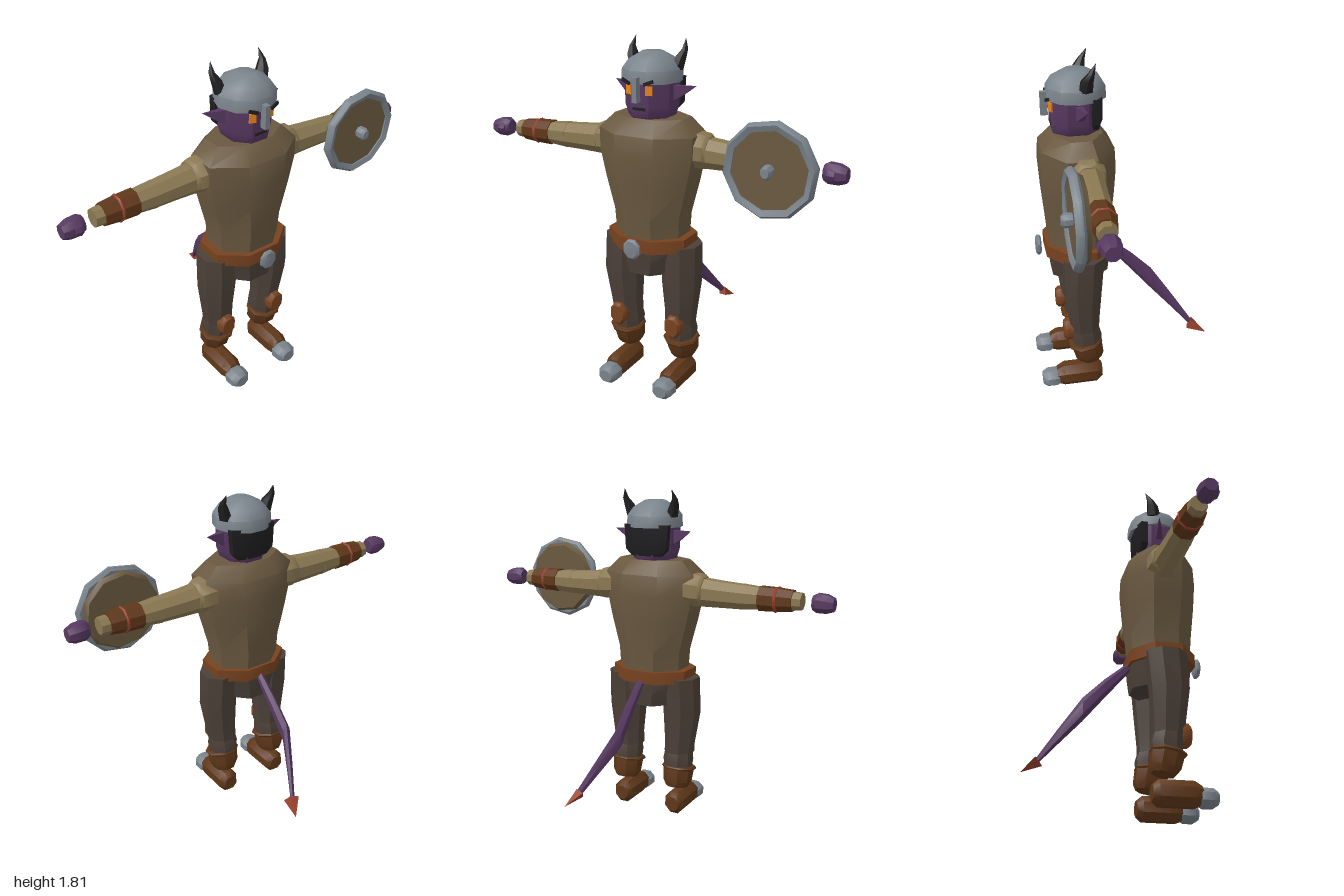
import * as THREE from 'three';
import { toCreasedNormals } from 'three/addons/utils/BufferGeometryUtils.js';

const paint = (name, color) => Object.assign(new THREE.MeshStandardMaterial({ color }), { name });
const M = {
  tunic: paint('tunic brown', 0x6a5940),
  sleeve: paint('sleeve tan', 0x8a7852),
  trousers: paint('trouser brown', 0x4c4038),
  leather: paint('belt leather', 0x78421f),
  boot: paint('boot brown', 0x5f3719),
  metal: paint('grey metal', 0x7a838b),
  skin: paint('purple skin', 0x573861),
  black: paint('horn black', 0x1f1f21),
  eye: paint('eye orange', 0xee871c),
  red: paint('rust red', 0x96402a),
};

function mesh(parent, name, geo, mat) {
  const m = new THREE.Mesh(toCreasedNormals(geo, 0.7), mat);
  m.name = name;
  parent.add(m);
  return m;
}

// Closed n-sided body through rings ascending along an axis.
// Row: x, y, z, then the two half widths (x: ry rz, y: rx rz, z: rx ry).
function loft(axis, rows, n = 8) {
  const pos = [], idx = [], k = 1 / Math.cos(Math.PI / n);
  for (const [x, y, z, a, b] of rows) {
    for (let j = 0; j < n; j++) {
      const t = ((j + 0.5) / n) * Math.PI * 2, s = Math.sin(t) * k, c = Math.cos(t) * k;
      if (axis === 'y') pos.push(x + s * a, y, z + c * b);
      else if (axis === 'x') pos.push(x, y + c * a, z + s * b);
      else pos.push(x + c * a, y + s * b, z);
    }
  }
  const last = rows.length - 1;
  for (let i = 0; i < last; i++) for (let j = 0; j < n; j++) {
    const a = i * n + j, b = i * n + (j + 1) % n;
    idx.push(a, b, b + n, a, b + n, a + n);
  }
  for (let j = 1; j < n - 1; j++) {
    idx.push(0, j + 1, j, last * n, last * n + j, last * n + j + 1);
  }
  const g = new THREE.BufferGeometry();
  g.setAttribute('position', new THREE.Float32BufferAttribute(pos, 3));
  g.setIndex(idx);
  return g;
}

function box(parent, name, mat, size, at, rot = [0, 0, 0]) {
  const m = mesh(parent, name, new THREE.BoxGeometry(...size), mat);
  m.position.set(...at);
  m.rotation.set(...rot);
  return m;
}

function addBody(g) {
  mesh(g, 'tunic', loft('y', [
    [0, 0.83, 0.232, 0.18, 0.155], [0, 0.95, 0.232, 0.187, 0.165], [0, 1.12, 0.232, 0.23, 0.18],
    [0, 1.26, 0.232, 0.26, 0.188], [0, 1.37, 0.232, 0.263, 0.182], [0, 1.445, 0.225, 0.19, 0.12],
  ]), M.tunic);
  mesh(g, 'hips', loft('y', [
    [0, 0.645, 0.23, 0.14, 0.148], [0, 0.72, 0.23, 0.165, 0.155], [0, 0.79, 0.232, 0.195, 0.158],
  ]), M.trousers);
  mesh(g, 'belt', loft('y', [[0, 0.777, 0.235, 0.22, 0.175], [0, 0.845, 0.235, 0.22, 0.175]]), M.leather);
  mesh(g, 'buckle', loft('z', [
    [0, 0.805, 0.43, 0.035, 0.042], [0, 0.805, 0.438, 0.045, 0.05],
    [0, 0.805, 0.45, 0.045, 0.05], [0, 0.805, 0.458, 0.035, 0.042],
  ]), M.metal);
}

function addHead(g) {
  mesh(g, 'head', loft('y', [
    [0, 1.42, 0.23, 0.085, 0.095], [0, 1.45, 0.23, 0.108, 0.118],
    [0, 1.5, 0.23, 0.123, 0.125], [0, 1.65, 0.23, 0.125, 0.125],
  ]), M.skin);
  mesh(g, 'hair', loft('y', [
    [0, 1.465, 0.14, 0.088, 0.03], [0, 1.5, 0.14, 0.122, 0.04], [0, 1.63, 0.14, 0.13, 0.043],
  ]), M.black);
  mesh(g, 'helmet', loft('y', [
    [0, 1.615, 0.225, 0.144, 0.146], [0, 1.675, 0.225, 0.141, 0.143],
    [0, 1.72, 0.225, 0.108, 0.115], [0, 1.755, 0.225, 0.05, 0.055],
  ], 10), M.metal);
  box(g, 'noseGuard', M.metal, [0.026, 0.12, 0.036], [0, 1.59, 0.383]);
  box(g, 'mouth', M.black, [0.07, 0.014, 0.008], [0, 1.493, 0.353]);
  for (const s of [-1, 1]) {
    box(g, 'eye', M.eye, [0.034, 0.045, 0.009], [s * 0.054, 1.585, 0.356], [0, s * 0.3, 0]);
    box(g, 'brow', M.black, [0.05, 0.016, 0.009], [s * 0.062, 1.625, 0.372], [0, s * 0.2, s * 0.35]);
  }
}

// Everything that exists on both sides, built for the +x side.
function addSide(g) {
  // Head ornaments
  mesh(g, 'horn', loft('y', [
    [0.115, 1.67, 0.195, 0.032, 0.036], [0.135, 1.73, 0.185, 0.025, 0.028],
    [0.147, 1.765, 0.168, 0.014, 0.016], [0.14, 1.812, 0.145, 0.001, 0.001],
  ], 6), M.black);
  mesh(g, 'ear', loft('x', [
    [0.11, 1.56, 0.225, 0.042, 0.022], [0.15, 1.57, 0.217, 0.028, 0.014], [0.225, 1.598, 0.2, 0.001, 0.001],
  ], 4), M.skin);

  // Arm
  mesh(g, 'shoulder', loft('x', [
    [0.19, 1.3, 0.215, 0.075, 0.09], [0.25, 1.295, 0.213, 0.085, 0.088],
    [0.3, 1.292, 0.21, 0.082, 0.082], [0.315, 1.29, 0.21, 0.072, 0.072],
  ]), M.sleeve);
  mesh(g, 'upperArm', loft('x', [
    [0.28, 1.285, 0.212, 0.075, 0.07], [0.4, 1.281, 0.212, 0.068, 0.065], [0.52, 1.278, 0.215, 0.063, 0.06],
  ]), M.sleeve);
  mesh(g, 'forearm', loft('x', [
    [0.515, 1.278, 0.215, 0.065, 0.062], [0.64, 1.278, 0.217, 0.054, 0.055], [0.84, 1.278, 0.222, 0.042, 0.042],
  ]), M.sleeve);
  mesh(g, 'bracer', loft('x', [
    [0.62, 1.278, 0.217, 0.062, 0.062], [0.71, 1.278, 0.219, 0.059, 0.06], [0.795, 1.278, 0.221, 0.052, 0.052],
  ]), M.boot);
  const strap = mesh(g, 'bracerStrap', new THREE.TorusGeometry(0.061, 0.009, 6, 8), M.red);
  strap.position.set(0.71, 1.278, 0.219);
  strap.rotation.set(Math.PI / 8, Math.PI / 2, 0, 'YXZ');
  strap.rotation.set(0, Math.PI / 2, Math.PI / 8);
  mesh(g, 'hand', loft('x', [
    [0.892, 1.278, 0.23, 0.036, 0.034], [0.915, 1.278, 0.23, 0.048, 0.045],
    [0.965, 1.276, 0.23, 0.046, 0.045], [1.0, 1.274, 0.23, 0.033, 0.034],
  ]), M.skin);
  mesh(g, 'thumb', loft('x', [
    [0.91, 1.278, 0.265, 0.02, 0.015], [0.925, 1.278, 0.268, 0.026, 0.02], [0.952, 1.276, 0.268, 0.02, 0.016],
  ], 6), M.skin);

  // Leg
  mesh(g, 'thigh', loft('y', [
    [0.16, 0.36, 0.232, 0.075, 0.077], [0.165, 0.42, 0.234, 0.078, 0.08],
    [0.172, 0.6, 0.24, 0.096, 0.098], [0.168, 0.8, 0.228, 0.094, 0.104],
  ]), M.trousers);
  mesh(g, 'shin', loft('y', [
    [0.162, 0.25, 0.22, 0.07, 0.072], [0.162, 0.32, 0.222, 0.078, 0.08], [0.162, 0.385, 0.232, 0.07, 0.07],
  ]), M.trousers);
  mesh(g, 'kneePad', loft('z', [
    [0.165, 0.362, 0.295, 0.047, 0.06], [0.165, 0.362, 0.33, 0.047, 0.06], [0.165, 0.362, 0.345, 0.036, 0.047],
  ]), M.leather);
  const shaft = new THREE.Group();
  shaft.name = 'bootShaft';
  shaft.position.set(0.165, 0.215, 0.215);
  shaft.rotation.x = 0.17;
  g.add(shaft);
  mesh(shaft, 'bootTop', loft('y', [
    [0, -0.058, -0.005, 0.058, 0.058], [0, -0.025, -0.003, 0.074, 0.076], [0, 0.05, 0, 0.08, 0.082],
  ]), M.boot);
  mesh(shaft, 'bootCuff', loft('y', [
    [0, 0.044, 0.004, 0.084, 0.084], [0, 0.053, 0.004, 0.091, 0.089], [0, 0.064, 0.004, 0.084, 0.084],
  ]), M.boot);
  mesh(g, 'foot', loft('z', [
    [0.165, 0.066, 0.14, 0.038, 0.04], [0.165, 0.066, 0.17, 0.057, 0.064],
    [0.165, 0.066, 0.35, 0.057, 0.064], [0.165, 0.062, 0.39, 0.045, 0.046],
  ]), M.boot);
  mesh(g, 'toeCap', loft('z', [
    [0.165, 0.053, 0.375, 0.046, 0.04], [0.165, 0.052, 0.395, 0.057, 0.048],
    [0.165, 0.052, 0.445, 0.055, 0.047], [0.165, 0.052, 0.47, 0.036, 0.032],
  ]), M.metal);
}

function addShield(g) {
  const shield = new THREE.Group();
  shield.name = 'shield';
  shield.position.set(0.672, 1.28, 0);
  shield.rotation.z = -0.46;
  g.add(shield);
  mesh(shield, 'shieldBoard', loft('z', [
    [0, 0, 0.293, 0.185, 0.185], [0, 0, 0.318, 0.2, 0.2], [0, 0, 0.348, 0.195, 0.195],
  ], 10), M.tunic);
  // Bevelled rim: a closed section turned round the shield's axis
  const section = [[0.183, 0.32], [0.21, 0.318], [0.224, 0.33], [0.224, 0.345], [0.21, 0.366], [0.183, 0.356], [0.183, 0.32]];
  const rim = new THREE.LatheGeometry(section.map(([r, z]) => new THREE.Vector2(r * 1.045, z)), 10, Math.PI / 10);
  rim.rotateX(Math.PI / 2);
  mesh(shield, 'shieldRim', rim, M.metal);
  const boss = mesh(shield, 'shieldBoss', loft('z', [
    [0, 0, 0.34, 0.026, 0.03], [0, 0, 0.385, 0.028, 0.032], [0, 0, 0.4, 0.018, 0.022],
  ]), M.metal);
  boss.rotation.z = 0.46;
}

function addTail(g) {
  mesh(g, 'tail', loft('z', [
    [0.118, 0.262, -0.395, 0.012, 0.016], [0.06, 0.39, -0.29, 0.017, 0.036],
    [0, 0.525, -0.175, 0.022, 0.056], [0, 0.65, -0.06, 0.021, 0.045], [0, 0.785, 0.075, 0.018, 0.025],
  ], 6), M.skin);
  const cone = new THREE.ConeGeometry(0.042, 0.11, 4);
  cone.scale(1, 1, 0.65);
  const tip = mesh(g, 'tailTip', cone, M.red);
  tip.position.set(0.132, 0.245, -0.42);
  tip.quaternion.setFromUnitVectors(new THREE.Vector3(0, 1, 0), new THREE.Vector3(0.35, -0.5, -0.85).normalize());
}

export function createModel() {
  const model = new THREE.Group();
  model.name = 'hornedWarrior';
  addBody(model);
  addHead(model);
  for (const s of [1, -1]) {
    const side = new THREE.Group();
    side.name = s > 0 ? 'leftSide' : 'rightSide';
    side.scale.x = s;
    addSide(side);
    model.add(side);
  }
  addShield(model);
  addTail(model);
  return model;
}
